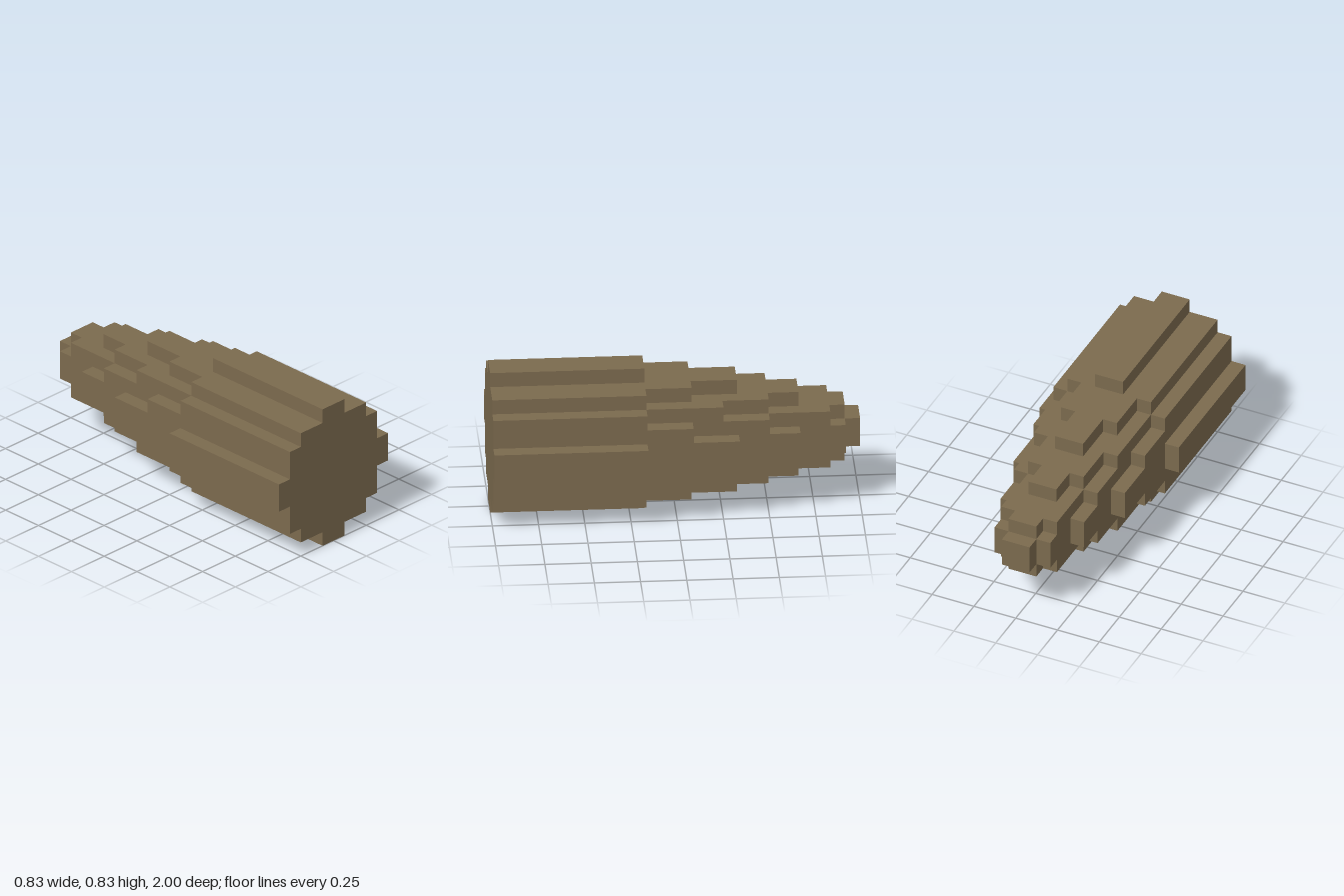
import * as THREE from 'three';

const S = 1 / 12; // size of one block

// Length in blocks of each bar, by its distance from the axis across and up;
// the same quarter is mirrored to all four sides.
const LENGTHS = [
  [24, 23, 20, 16, 10],
  [23, 22, 18, 13, 0],
  [20, 18, 15, 10, 0],
  [16, 13, 10, 0, 0],
  [10, 0, 0, 0, 0],
];

// Bar index -5..4 to distance from the axis 0..4
const ring = (i) => (i < 0 ? -1 - i : i);
const barLength = (i, j) => LENGTHS[ring(i)]?.[ring(j)] ?? 0;

function taperedBodyGeometry() {
  const positions = [];

  // Rectangle from its centre and two half-edges, facing u x v
  const quad = (c, u, v) => {
    const corner = (a, b) => c.clone().addScaledVector(u, a).addScaledVector(v, b);
    const p = [corner(-1, -1), corner(1, -1), corner(1, 1), corner(-1, 1)];
    for (const k of [0, 1, 2, 0, 2, 3]) positions.push(p[k].x, p[k].y, p[k].z);
  };
  const vec = (x, y, z) => new THREE.Vector3(x, y, z);

  for (let i = -5; i < 5; i++) {
    for (let j = -5; j < 5; j++) {
      const length = barLength(i, j);
      if (!length) continue;
      const x = (i + 0.5) * S;
      const y = (j + 5.5) * S;
      const h = S / 2;

      // Front and back ends
      quad(vec(x, y, 1), vec(h, 0, 0), vec(0, h, 0));
      quad(vec(x, y, 1 - length * S), vec(-h, 0, 0), vec(0, h, 0));

      // Sides, only where the bar is longer than its neighbour
      for (const [dx, dy] of [[1, 0], [-1, 0], [0, 1], [0, -1]]) {
        const covered = barLength(i + dx, j + dy);
        if (covered >= length) continue;
        const z = 1 - ((covered + length) / 2) * S;
        quad(
          vec(x + dx * h, y + dy * h, z),
          vec(-dy * h, dx * h, 0),
          vec(0, 0, ((length - covered) / 2) * S),
        );
      }
    }
  }

  const geometry = new THREE.BufferGeometry();
  geometry.setAttribute('position', new THREE.Float32BufferAttribute(positions, 3));
  geometry.computeVertexNormals();
  return geometry;
}

export function createModel() {
  const brown = new THREE.MeshStandardMaterial({ color: 0x7b6a4e });
  brown.name = 'brown';

  const group = new THREE.Group();
  group.name = 'blockySpike';

  const body = new THREE.Mesh(taperedBodyGeometry(), brown);
  body.name = 'taperedBody';
  group.add(body);
  return group;
}
